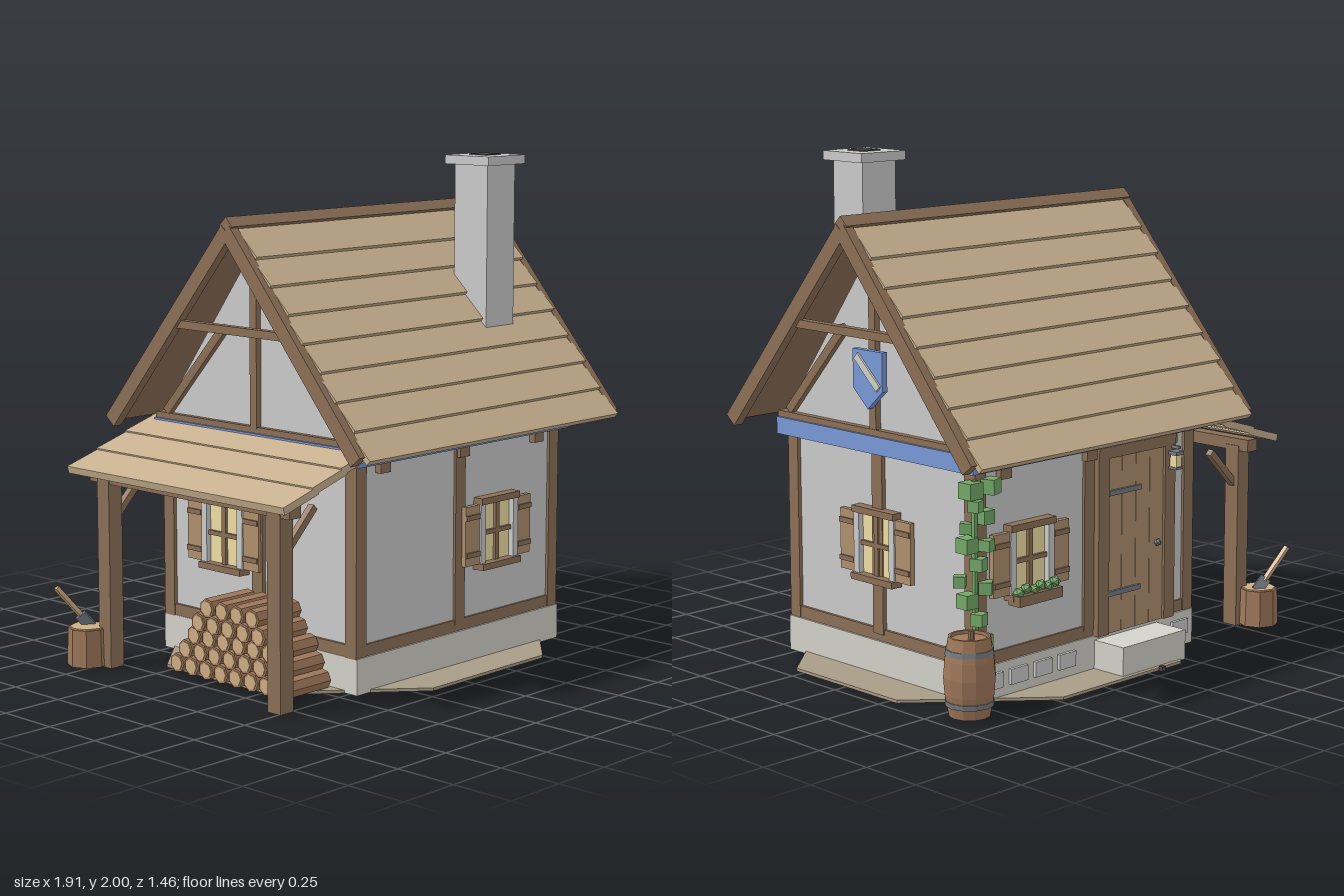
import * as THREE from 'three';

const C = {
  wall: 0xcccccc, stone: 0xd3d2ca, timber: 0x8c7057, plank: 0xb0906e, roof: 0xc9b190, blue: 0x7899d8,
  glass: 0xf0e0a4, leaf: 0x74a868, iron: 0x777d84, dark: 0x4c4a47, earth: 0xa89c86, log: 0xa0785a, logEnd: 0xcfae84,
};
const mats = {};
const mat = (c) => (mats[c] ??= new THREE.MeshStandardMaterial({ color: C[c], flatShading: true }));

function add(parent, name, geo, color, x = 0, y = 0, z = 0) {
  const m = new THREE.Mesh(geo, mat(color));
  m.name = name;
  m.position.set(x, y, z);
  parent.add(m);
  return m;
}
const box = (p, name, color, w, h, d, x, y, z) => add(p, name, new THREE.BoxGeometry(w, h, d), color, x, y, z);

// square bar between two points
function bar(p, name, color, a, b, w, d = w) {
  const A = new THREE.Vector3(...a), B = new THREE.Vector3(...b);
  const m = box(p, name, color, w, A.distanceTo(B), d, 0, 0, 0);
  m.position.copy(A).lerp(B, 0.5);
  m.quaternion.setFromUnitVectors(new THREE.Vector3(0, 1, 0), B.sub(A).normalize());
  return m;
}
function group(parent, name, x = 0, y = 0, z = 0, ry = 0) {
  const g = new THREE.Group();
  g.name = name;
  g.position.set(x, y, z);
  g.rotation.y = ry;
  parent.add(g);
  return g;
}

// window facing +z with shutters, optional flower box
function addWindow(parent, x, y, z, ry, flowers) {
  const w = group(parent, 'window', x, y, z, ry);
  box(w, 'glass', 'glass', 0.18, 0.24, 0.024, 0, 0, 0);
  for (const s of [-1, 1]) {
    box(w, 'windowFrame', 'wall', 0.03, 0.25, 0.05, s * 0.1, 0, 0.01);
    box(w, 'shutter', 'plank', 0.085, 0.24, 0.02, s * 0.158, 0, 0.018);
    for (const t of [-1, 1]) box(w, 'shutterBatten', 'timber', 0.08, 0.02, 0.012, s * 0.158, t * 0.075, 0.03);
  }
  box(w, 'mullion', 'timber', 0.022, 0.24, 0.036, 0, 0, 0.006);
  box(w, 'transom', 'timber', 0.18, 0.018, 0.036, 0, 0, 0.006);
  box(w, 'lintel', 'timber', 0.235, 0.026, 0.055, 0, 0.132, 0.015);
  box(w, 'sill', 'timber', 0.235, 0.026, 0.065, 0, -0.132, 0.018);
  if (flowers) {
    box(w, 'flowerBox', 'timber', 0.23, 0.04, 0.06, 0, -0.14, 0.05);
    for (let i = 0; i < 6; i++)
      add(w, 'flowerLeaf', new THREE.IcosahedronGeometry(0.024, 0), 'leaf', -0.095 + i * 0.038, -0.112 + (i % 2) * 0.01, 0.055);
  }
}

function addBody(g) {
  const X = 0.16;
  const ground = add(g, 'ground', new THREE.CylinderGeometry(0.866, 0.866, 0.012, 8).rotateY(Math.PI / 8), 'earth', 0.145, 0.006, 0);
  ground.scale.z = 0.875;
  box(g, 'plinth', 'stone', 1.215, 0.142, 1.07, 0.163, 0.072, 0.005);
  box(g, 'walls', 'wall', 1.18, 0.82, 1.04, X, 0.54, 0.005);
  for (const x of [0.68, 0.55, 0.42, 0.29, -0.36])
    box(g, 'plinthStone', 'wall', 0.09, 0.06, 0.02, x, 0.08, -0.533);

  // timber frame
  for (const z of [-0.498, 0.508]) {
    for (const x of [-0.417, 0.737]) box(g, 'cornerPost', 'timber', 0.057, 0.75, 0.057, x, 0.515, z);
    box(g, 'sillBeam', 'timber', 1.2, 0.05, 0.05, X, 0.165, z);
    box(g, 'wallPost', 'timber', 0.058, 0.72, 0.056, X - 0.005, 0.53, z);
    for (const x of [-0.3, 0.16, 0.62]) box(g, 'beamEnd', 'timber', 0.055, 0.04, 0.09, x, 0.863, z);
  }
  for (const x of [-0.417, 0.737]) {
    box(g, 'sideSill', 'timber', 0.05, 0.05, 1.03, x, 0.165, 0.005);
    box(g, 'sidePost', 'timber', 0.062, 0.72, 0.058, x, 0.53, 0.01);
  }
  box(g, 'blueBeam', 'blue', 1.27, 0.068, 1.115, 0.163, 0.917, 0.008);
  box(g, 'topPlate', 'timber', 1.25, 0.024, 1.12, 0.163, 0.963, 0.01);

  // gable prism with its timbers
  const tri = new THREE.Shape([[-0.55, 0.95], [0.55, 0.95], [0, 1.69]].map((p) => new THREE.Vector2(...p)));
  const prism = new THREE.ExtrudeGeometry(tri, { depth: 1.2, bevelEnabled: false });
  add(g, 'gable', prism.rotateY(Math.PI / 2), 'wall', -0.44, 0, 0.01);
  for (const s of [-1, 1]) {
    const e = group(g, 'gableTimbers', X + s * 0.61, 0, 0.01);
    box(e, 'kingPost', 'timber', 0.03, 0.69, 0.036, 0, 1.315, 0);
    for (const t of [-1, 1]) bar(e, 'gableBrace', 'timber', [0, 0.98, t * 0.5], [0, 1.345, t * 0.17], 0.028, 0.036);
    box(e, 'collarBeam', 'timber', 0.035, 0.032, 0.59, s * 0.125, 1.362, 0);
  }
  addWindow(g, 0.365, 0.52, 0.527, 0);
  addWindow(g, 0.752, 0.52, 0.01, Math.PI / 2);
  addWindow(g, 0.49, 0.52, -0.517, Math.PI, true);
  addWindow(g, -0.432, 0.52, -0.17, -Math.PI / 2);

  // shield plaque on the right gable
  const shield = new THREE.Shape([[-0.083, 1.28], [-0.083, 1.13], [0, 1.055], [0.083, 1.13], [0.083, 1.28]].map((p) => new THREE.Vector2(...p)));
  const plaque = group(g, 'shieldPlaque', 0.785, 0, 0.008, Math.PI / 2);
  add(plaque, 'shield', new THREE.ExtrudeGeometry(shield, { depth: 0.025, bevelEnabled: false }), 'blue');
  bar(plaque, 'shieldBand', 'stone', [-0.06, 1.255, 0.026], [0.065, 1.14, 0.026], 0.03, 0.014);
}

function addRoof(g) {
  const N = 8, pitch = 0.131;
  for (const ry of [0, Math.PI]) {
    const side = group(g, 'roofSide', 0.163, 1.745, 0.01, ry);
    const slope = group(side, 'roofSlope');
    slope.rotation.x = 0.873;
    box(slope, 'roofDeck', 'timber', 1.46, 0.02, 1.03, 0, -0.008, 0.515);
    for (let i = 0; i < N; i++) {
      const c = box(slope, 'roofCourse', 'roof', 1.47 + (i % 2) * 0.02, 0.024, pitch + 0.035, 0, 0.018, (i + 0.5) * pitch + 0.012);
      c.rotation.x = -0.12;
    }
    for (const s of [-1, 1]) box(slope, 'bargeBoard', 'timber', 0.04, 0.06, 1.05, s * 0.753, -0.002, 0.525);
  }
  const ridge = box(g, 'ridgeBeam', 'timber', 1.54, 0.05, 0.05, 0.163, 1.76, 0.01);
  ridge.rotation.x = Math.PI / 4;

  const ch = group(g, 'chimney', 0.535, 0, 0.325);
  box(ch, 'chimneyStack', 'wall', 0.17, 0.86, 0.17, 0, 1.53, 0);
  box(ch, 'chimneyCap', 'wall', 0.226, 0.036, 0.226, 0, 1.977, 0);
  box(ch, 'flue', 'dark', 0.09, 0.04, 0.09, 0, 1.98, 0);
}

function addDoor(g) {
  const d = group(g, 'door', -0.09, 0, -0.52, Math.PI);
  for (let i = 0; i < 4; i++) box(d, 'doorBoard', 'plank', 0.078, 0.7, 0.03, -0.12 + i * 0.08, 0.49, 0.005);
  box(d, 'doorPost', 'timber', 0.06, 0.74, 0.05, 0.19, 0.51, 0.005);
  box(d, 'doorPost', 'timber', 0.06, 0.74, 0.05, -0.19, 0.51, 0.005);
  box(d, 'doorHead', 'timber', 0.44, 0.045, 0.055, 0, 0.862, 0.005);
  for (const y of [0.3, 0.7]) box(d, 'hinge', 'iron', 0.18, 0.02, 0.012, -0.07, y, 0.025);
  add(d, 'doorKnob', new THREE.IcosahedronGeometry(0.016, 0), 'iron', 0.12, 0.46, 0.03);
  box(g, 'doorStep', 'stone', 0.36, 0.12, 0.155, -0.05, 0.066, -0.605);
  box(g, 'pebble', 'dark', 0.02, 0.02, 0.02, -0.06, 0.011, -0.715);

  const l = group(g, 'lantern', -0.29, 0.78, -0.57);
  box(l, 'lanternArm', 'iron', 0.012, 0.012, 0.06, 0, 0.055, 0.01);
  box(l, 'lanternCap', 'iron', 0.045, 0.015, 0.045, 0, 0.032, 0);
  box(l, 'lanternLight', 'glass', 0.032, 0.05, 0.032, 0, 0, 0);
  box(l, 'lanternBase', 'iron', 0.04, 0.01, 0.04, 0, -0.028, 0);
}

function addLeanTo(g) {
  const l = group(g, 'leanTo');
  // overlapping roof boards
  for (let i = 0; i < 3; i++) {
    const b = box(l, 'leanToBoard', 'roof', 0.185, 0.03, 1.19, -0.805 + i * 0.152, 0.815 + i * 0.052, 0.005);
    b.rotation.z = 0.29;
  }
  box(l, 'leanToBeam', 'timber', 0.06, 0.05, 1.1, -0.79, 0.765, 0.005);
  for (const z of [-0.465, 0.475]) {
    box(l, 'leanToPost', 'timber', 0.068, 0.76, 0.068, -0.79, 0.38, z);
    bar(l, 'leanToBrace', 'timber', [-0.765, 0.6, z], [-0.615, 0.75, z], 0.028);
  }
  // stacked firewood
  for (let r = 0; r < 5; r++)
    for (let i = 0; i < 8 - r; i++) {
      const z = -0.18 + (i + r / 2) * 0.082, x = -0.58 + ((i * 3 + r) % 3 - 1) * 0.008, y = 0.048 + r * 0.061;
      add(l, 'log', new THREE.CylinderGeometry(0.039, 0.039, 0.23, 7).rotateZ(Math.PI / 2), 'log', x, y, z);
      add(l, 'logEnd', new THREE.CylinderGeometry(0.03, 0.03, 0.236, 7).rotateZ(Math.PI / 2), 'logEnd', x, y, z);
    }
}

function addYard(g) {
  // barrel with hoops
  const b = group(g, 'barrel', 0.857, 0, -0.59);
  const prof = [[0, 0.005], [0.078, 0.005], [0.094, 0.09], [0.099, 0.155], [0.094, 0.22], [0.08, 0.305], [0.07, 0.305], [0.07, 0.292], [0, 0.292]];
  add(b, 'barrelBody', new THREE.LatheGeometry(prof.map((p) => new THREE.Vector2(...p)), 12), 'log');
  for (const y of [0.055, 0.25])
    add(b, 'barrelHoop', new THREE.CylinderGeometry(y > 0.1 ? 0.091 : 0.093, y > 0.1 ? 0.093 : 0.091, 0.02, 12), 'iron', 0, y, 0);
  add(b, 'barrelBung', new THREE.CylinderGeometry(0.012, 0.012, 0.04, 6), 'timber', 0, 0.305, -0.01);

  // chopping block with axe
  const k = group(g, 'choppingBlock', -0.845, 0, -0.545);
  add(k, 'block', new THREE.CylinderGeometry(0.078, 0.082, 0.15, 8), 'log', 0, 0.08, 0);
  add(k, 'blockTop', new THREE.CylinderGeometry(0.07, 0.07, 0.01, 8), 'logEnd', 0, 0.155, 0);
  bar(k, 'axeHandle', 'logEnd', [0, 0.19, -0.03], [-0.105, 0.32, -0.062], 0.018);
  bar(k, 'axeHead', 'iron', [-0.01, 0.2, -0.03], [0.03, 0.15, -0.015], 0.045, 0.02);

  // climbing vine at the back right corner: x, y, z, size
  const leaves = [
    [0.79, 0.825, -0.53, 0.065], [0.79, 0.77, -0.555, 0.045], [0.775, 0.675, -0.49, 0.045], [0.8, 0.62, -0.52, 0.06],
    [0.76, 0.545, -0.54, 0.05], [0.795, 0.475, -0.475, 0.045], [0.8, 0.41, -0.52, 0.058], [0.77, 0.34, -0.55, 0.05],
    [0.8, 0.21, -0.47, 0.055], [0.73, 0.72, -0.54, 0.055], [0.7, 0.83, -0.54, 0.06], [0.725, 0.45, -0.54, 0.05],
    [0.74, 0.25, -0.54, 0.055], [0.72, 0.61, -0.54, 0.045],
  ];
  const v = group(g, 'vine');
  bar(v, 'vineStem', 'leaf', [0.768, 0.05, -0.53], [0.772, 0.86, -0.53], 0.016);
  leaves.forEach(([x, y, z, s], i) => {
    box(v, 'vineLeaf', 'leaf', s, s * 0.95, s, x, y, z).rotation.y = (i % 3) * 0.35;
  });
}

export function createModel() {
  const g = new THREE.Group();
  g.name = 'cottage';
  addBody(g);
  addRoof(g);
  addDoor(g);
  addLeanTo(g);
  addYard(g);
  return g;
}
